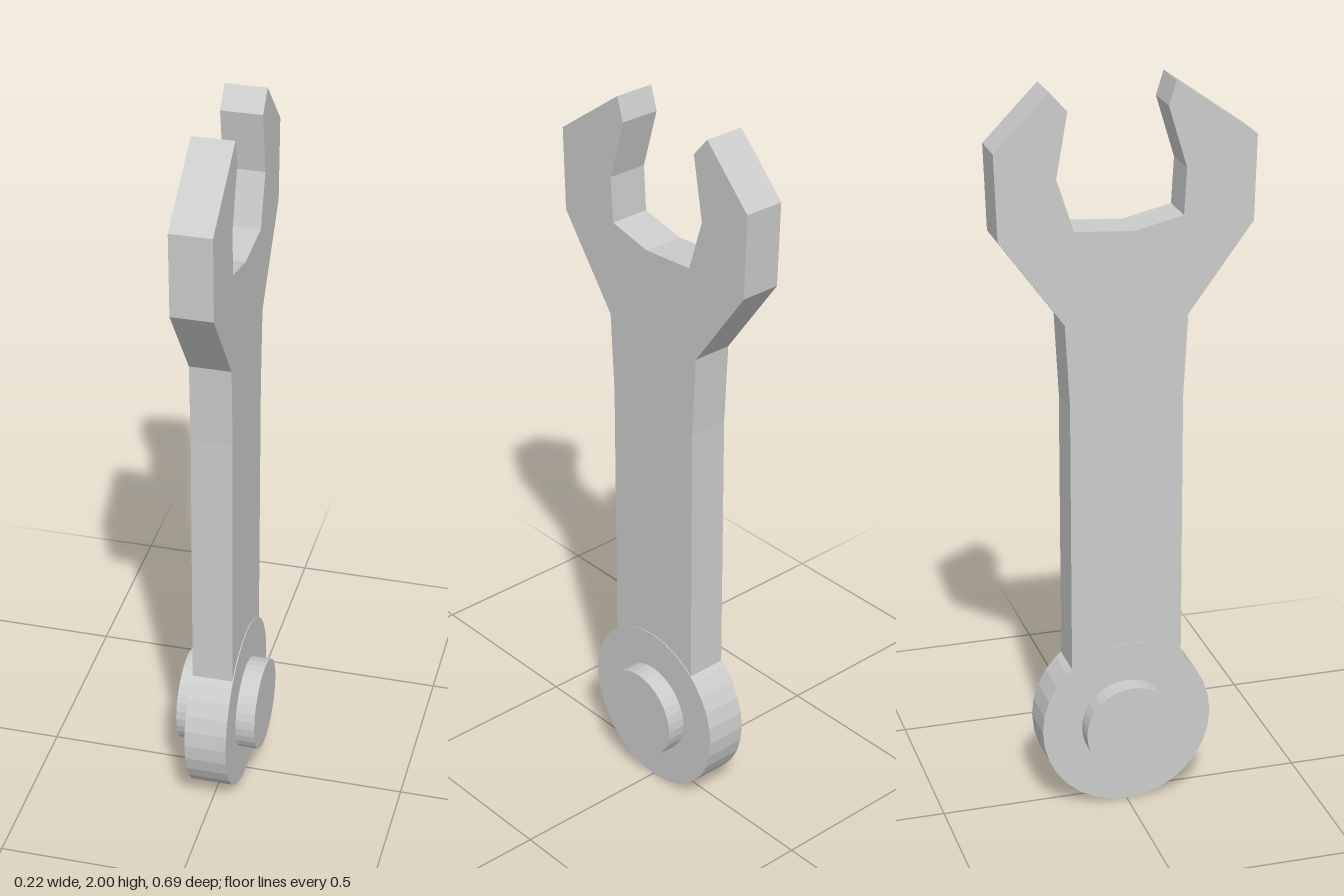
import * as THREE from 'three';

const material = new THREE.MeshStandardMaterial({ color: 0xcccccc, flatShading: true });

// Disc lying across the x axis
function disc(name, radius, width) {
  const geometry = new THREE.CylinderGeometry(radius, radius, width, 32);
  geometry.rotateZ(Math.PI / 2);
  const mesh = new THREE.Mesh(geometry, material);
  mesh.name = name;
  mesh.position.y = 0.235;
  return mesh;
}

export function createModel() {
  const group = new THREE.Group();
  group.name = 'wrench';

  // Handle and open jaw in one flat outline, as [z, y]
  const outline = [
    [0.152, 0.25], [0.152, 1.16], [0.164, 1.385], [0.337, 1.62], [0.343, 1.847],
    [0.128, 2.0], [0.108, 1.936], [0.157, 1.773], [0.15, 1.65], [0.021, 1.62],
    [-0.138, 1.63], [-0.183, 1.77], [-0.153, 1.94], [-0.2, 1.993],
    [-0.343, 1.847], [-0.335, 1.62], [-0.164, 1.385], [-0.152, 1.16], [-0.152, 0.25],
  ];
  const shape = new THREE.Shape(outline.map(([z, y]) => new THREE.Vector2(z, y)));
  const thickness = 0.11;
  const geometry = new THREE.ExtrudeGeometry(shape, { depth: thickness, bevelEnabled: false });
  geometry.translate(0, 0, -thickness / 2);
  geometry.rotateY(-Math.PI / 2);
  const body = new THREE.Mesh(geometry, material);
  body.name = 'handleAndJaw';

  // Round end with a pin through it
  group.add(body, disc('roundEnd', 0.235, 0.115), disc('pin', 0.126, 0.22));
  return group;
}
